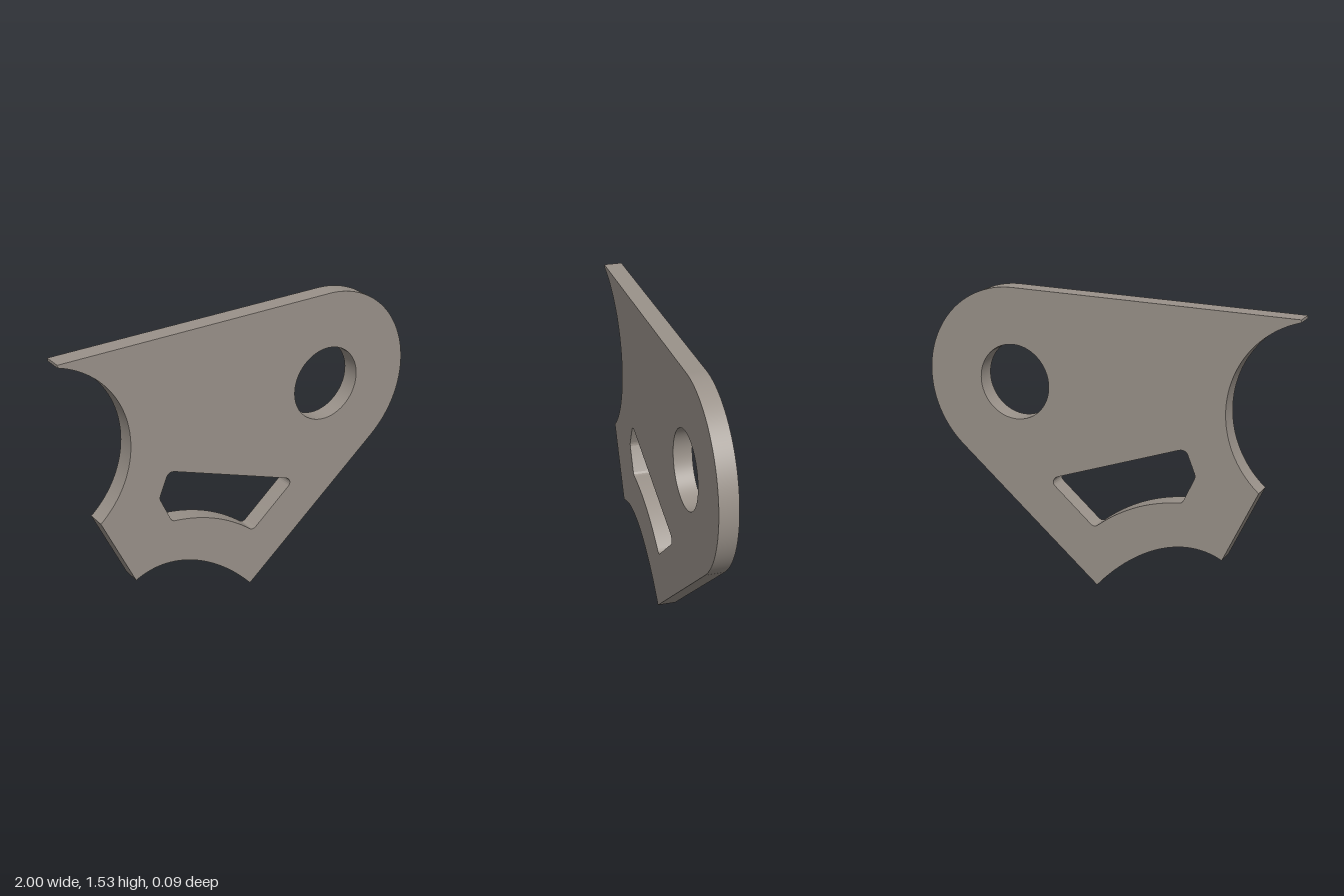
import * as THREE from 'three';
import { toCreasedNormals } from 'three/addons/utils/BufferGeometryUtils.js';

const THICKNESS = 0.095;

// Outer outline, counter-clockwise from the bottom tip
function plateOutline() {
  const s = new THREE.Shape();
  s.moveTo(0.037, 0);
  s.lineTo(0.824, 0.659);
  // rounded end, tangent to the lower and top edges
  s.absarc(0.507, 1.037, 0.493, -0.8734, Math.PI / 2, false);
  s.lineTo(-1, 1.53);
  s.lineTo(-1, 1.516);
  // large concave bite on the left
  const c = { x: -1.145, y: 1.04 };
  s.absarc(c.x, c.y, 0.498, Math.atan2(1.516 - c.y, -1 - c.x), Math.atan2(0.655 - c.y, -0.827 - c.x), true);
  s.lineTo(-0.649, 0.271);
  // concave lower edge
  s.bezierCurveTo(-0.43, 0.38, -0.16, 0.23, 0.037, 0);
  return s;
}

// Round pivot hole
function pivotHole() {
  return new THREE.Path().absarc(0.503, 1.04, 0.197, 0, Math.PI * 2, true);
}

// Five-sided lightening slot with rounded corners and a curved lower side
function slot() {
  const p = new THREE.Path();
  p.moveTo(-0.405, 0.81);
  p.lineTo(0.258, 0.565);
  p.bezierCurveTo(0.29, 0.553, 0.293, 0.525, 0.278, 0.511);
  p.lineTo(0.075, 0.338);
  p.quadraticCurveTo(0.055, 0.32, 0.035, 0.335);
  p.quadraticCurveTo(-0.17, 0.505, -0.415, 0.536);
  p.quadraticCurveTo(-0.433, 0.538, -0.44, 0.555);
  p.lineTo(-0.493, 0.672);
  p.quadraticCurveTo(-0.501, 0.688, -0.494, 0.705);
  p.lineTo(-0.457, 0.795);
  p.quadraticCurveTo(-0.443, 0.824, -0.405, 0.81);
  return p;
}

export function createModel() {
  const group = new THREE.Group();
  group.name = 'bracketPlate';

  const outline = plateOutline();
  outline.holes.push(pivotHole(), slot());
  const geometry = new THREE.ExtrudeGeometry(outline, {
    depth: THICKNESS, bevelEnabled: false, curveSegments: 40,
  });
  geometry.translate(0, 0, -THICKNESS / 2);

  const plate = new THREE.Mesh(
    toCreasedNormals(geometry, 0.4),
    new THREE.MeshStandardMaterial({ color: 0x9a928a }),
  );
  plate.name = 'plate';
  group.add(plate);
  return group;
}
